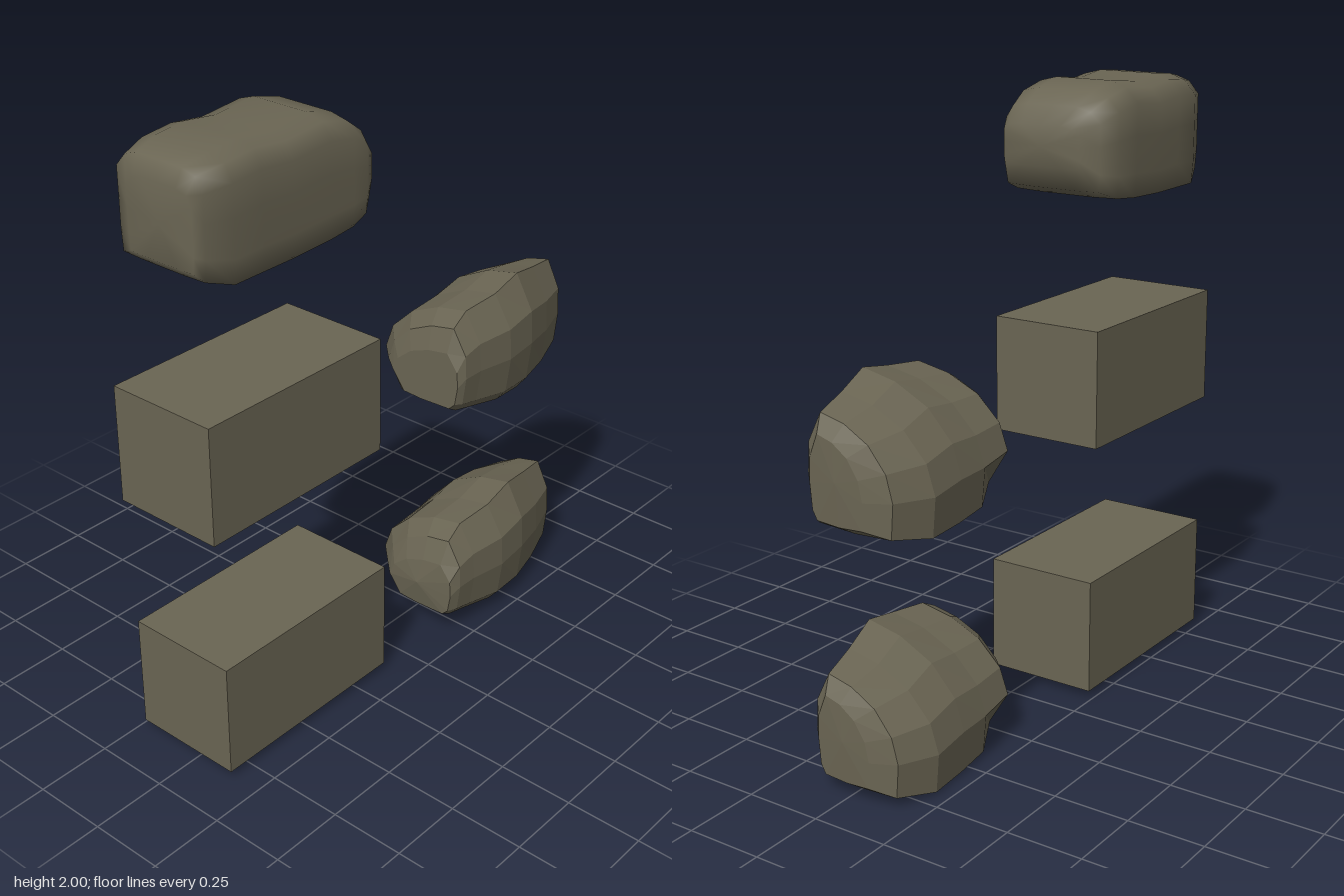
import * as THREE from 'three';

// Closed solid lofted front to back through scaled copies of one outline.
// Each ring is [z, xMin, xMax, yMin, yMax]; the outline runs anticlockwise, u in -1..1, v in 0..1.
function loft(outline, rings, capFront, capBack, adjust = (u) => u) {
  const n = outline.length;
  const pos = [];
  const idx = [];
  rings.forEach(([z, x0, x1, y0, y1], i) => {
    outline.forEach(([u, v]) => {
      const w = adjust(u, v, i);
      pos.push((x0 + x1) / 2 + (w * (x1 - x0)) / 2, y0 + v * (y1 - y0), z);
    });
  });
  for (let i = 0; i < rings.length - 1; i++) {
    for (let j = 0; j < n; j++) {
      const a = i * n + j;
      const b = i * n + ((j + 1) % n);
      idx.push(a, a + n, b, b, a + n, b + n);
    }
  }
  // End caps
  const addCap = (ring, z, flip) => {
    const [, x0, x1, y0, y1] = rings[ring];
    const c = pos.length / 3;
    pos.push((x0 + x1) / 2, (y0 + y1) / 2, z);
    for (let j = 0; j < n; j++) {
      const a = ring * n + j;
      const b = ring * n + ((j + 1) % n);
      if (flip) idx.push(c, b, a);
      else idx.push(c, a, b);
    }
  };
  addCap(0, capFront, false);
  addCap(rings.length - 1, capBack, true);
  const g = new THREE.BufferGeometry();
  g.setAttribute('position', new THREE.Float32BufferAttribute(pos, 3));
  g.setIndex(idx);
  g.computeVertexNormals();
  return g;
}

// Faceted boulder with a high right-hand ridge and an undercut front left corner
function facetedRock(frontLimit) {
  const outline = [
    [0.75, 0.02], [0.92, 0.13], [1, 0.45], [0.97, 0.72], [0.66, 1], [0.1, 0.94],
    [-0.45, 0.8], [-0.85, 0.58], [-1, 0.34], [-0.95, 0.02], [-0.1, 0],
  ];
  const rings = [
    [-0.175, -0.07, 0.2, 0.07, 0.27],
    [-0.21, -0.11, 0.215, 0.055, 0.35],
    [-0.28, -0.18, 0.22, 0.035, 0.385],
    [-0.42, -0.195, 0.236, 0.01, 0.4],
    [-0.55, -0.205, 0.225, 0, 0.425],
    [-0.69, -0.215, 0.185, 0, 0.39],
    [-0.82, -0.165, 0.14, 0.025, 0.365],
    [-0.85, -0.08, 0.11, 0.045, 0.31],
  ];
  rings.forEach((r) => { r[0] = Math.min(r[0], frontLimit); });
  const undercut = (u, v, i) => (i < 3 && u < -0.9 && v < 0.1 ? -0.65 : u);
  const g = loft(outline, rings, Math.min(-0.157, frontLimit), -0.855, undercut).toNonIndexed();
  g.computeVertexNormals();
  return g;
}

// Smooth, box-like boulder
function smoothRock() {
  const outline = [
    [-0.5, 0], [0.5, 0], [0.97, 0.01], [1, 0.22], [1, 0.55], [1, 0.82], [0.86, 0.96], [0.55, 1],
    [0, 1], [-0.5, 1], [-0.78, 0.95], [-1, 0.82], [-1, 0.55], [-1, 0.22], [-0.97, 0.01],
  ];
  const rings = [
    [0.845, -0.14, 0.11, 1.69, 1.92],
    [0.825, -0.195, 0.135, 1.665, 1.975],
    [0.73, -0.235, 0.15, 1.63, 1.99],
    [0.62, -0.238, 0.15, 1.63, 2],
    [0.5, -0.24, 0.15, 1.63, 1.985],
    [0.35, -0.24, 0.15, 1.635, 2],
    [0.25, -0.235, 0.15, 1.645, 1.975],
    [0.195, -0.2, 0.15, 1.67, 1.93],
    [0.165, -0.14, 0.14, 1.74, 1.87],
  ];
  return loft(outline, rings, 0.85, 0.16);
}

export function createModel() {
  const group = new THREE.Group();
  const stone = new THREE.MeshStandardMaterial({ color: 0x6a6553 });
  stone.name = 'stone';

  const add = (name, geometry, x = 0, y = 0, z = 0) => {
    const mesh = new THREE.Mesh(geometry, stone);
    mesh.name = name;
    mesh.position.set(x, y, z);
    group.add(mesh);
  };

  // Plain blocks
  add('lowerBlock', new THREE.BoxGeometry(0.385, 0.385, 0.725), -0.044, 0.215, 0.474);
  add('upperBlock', new THREE.BoxGeometry(0.385, 0.385, 0.725), -0.044, 1.053, 0.497);

  // Boulders
  add('smoothRock', smoothRock());
  add('lowerFacetedRock', facetedRock(-0.157));
  add('upperFacetedRock', facetedRock(-0.185), 0, 0.803, 0);

  return group;
}
